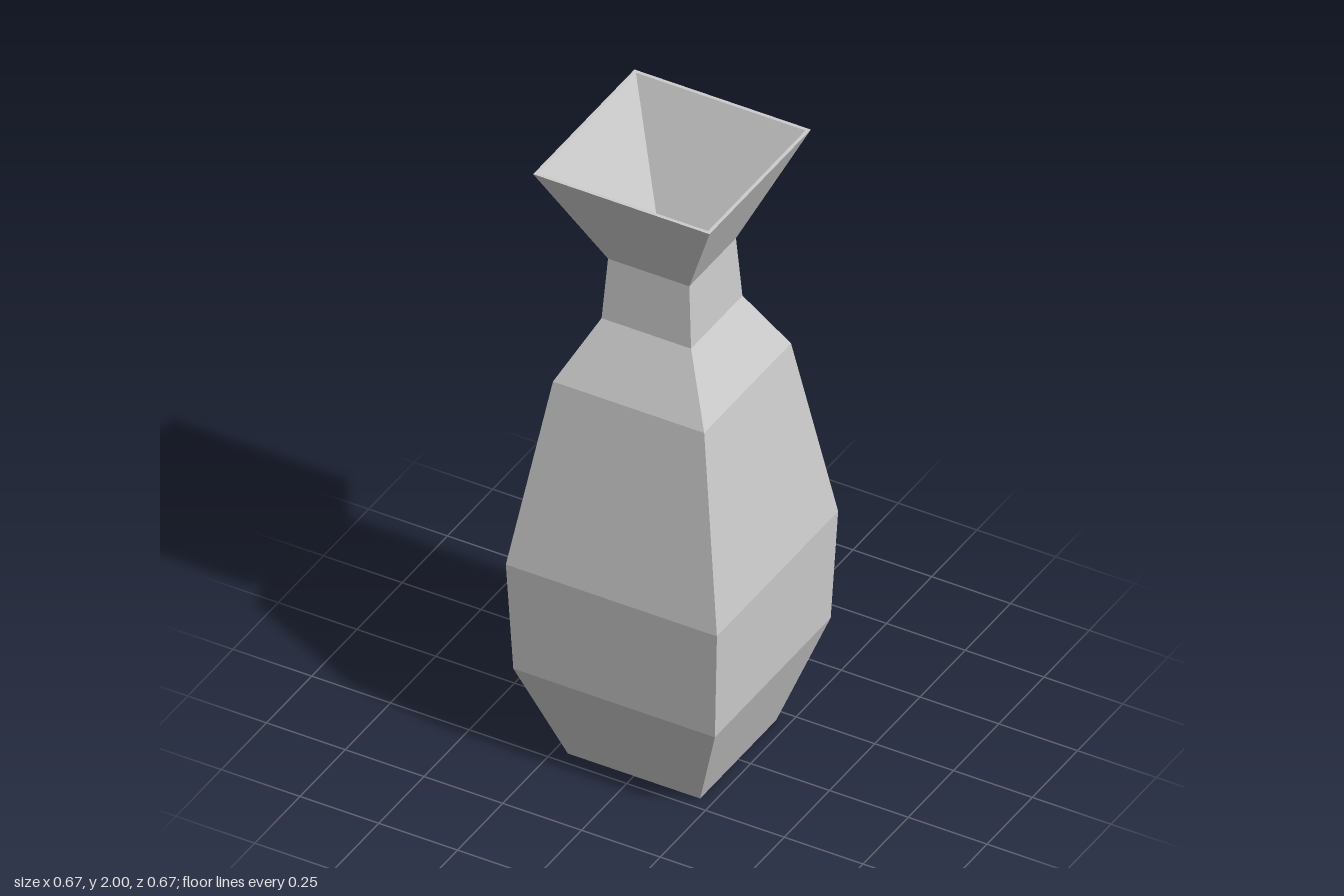
import * as THREE from 'three';

// Half-widths and heights of the square cross-sections
const OUTER = [[0, 0], [0.21, 0], [0.32, 0.32], [0.335, 0.68], [0.24, 1.28], [0.142, 1.47], [0.129, 1.67], [0.28, 2]];
const RIM = [[0.28, 2], [0.269, 2]];
const INNER = [[0.269, 2], [0.118, 1.67], [0, 1.67]];

// Four-sided lathe turned so its flat sides face the axes
function squareLathe(name, profile, material) {
  const points = profile.map(([half, y]) => new THREE.Vector2(half * Math.SQRT2, y));
  const mesh = new THREE.Mesh(new THREE.LatheGeometry(points, 4, Math.PI / 4), material);
  mesh.name = name;
  return mesh;
}

export function createModel() {
  const ceramic = new THREE.MeshStandardMaterial({ color: 0xcccccc, flatShading: true });
  ceramic.name = 'pale grey ceramic';

  const vase = new THREE.Group();
  vase.name = 'vase';
  vase.add(
    squareLathe('body', OUTER, ceramic),
    squareLathe('rim', RIM, ceramic),
    squareLathe('mouth', INNER, ceramic) // flared opening and its floor
  );
  return vase;
}
